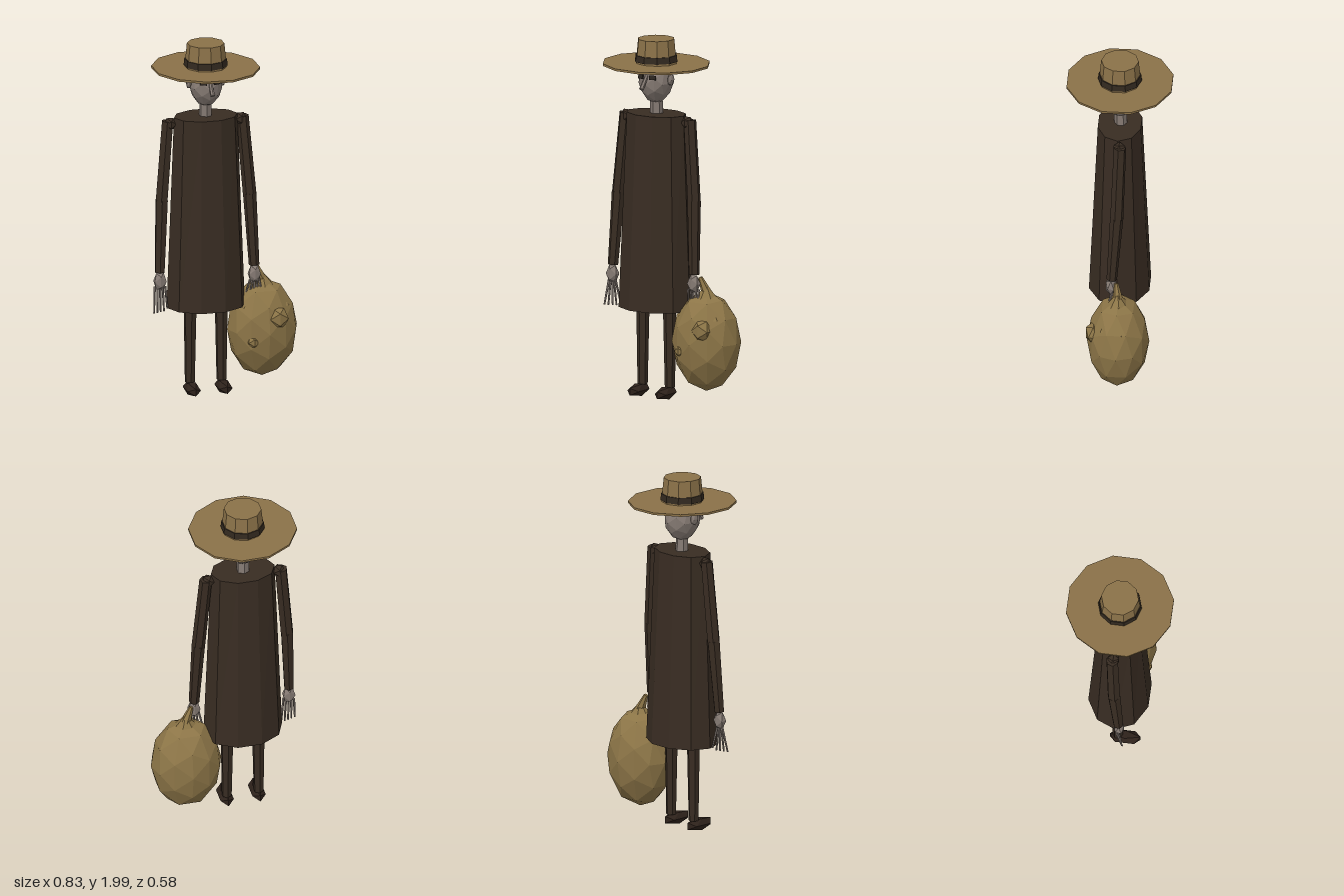
import * as THREE from 'three';

const CX = -0.105; // body centre line

function makeMaterial(name, color) {
  const m = new THREE.MeshStandardMaterial({ color, flatShading: true });
  m.name = name;
  return m;
}

export function createModel() {
  const cloth = makeMaterial('dark cloth', 0x382c22);
  const straw = makeMaterial('straw', 0x8a7148);
  const burlap = makeMaterial('burlap', 0x8c7547);
  const skin = makeMaterial('grey skin', 0x857a73);
  const leather = makeMaterial('dark leather', 0x2e221b);
  const band = makeMaterial('hat band', 0x32291f);
  const eyeDark = makeMaterial('eye dark', 0x2a241f);

  const model = new THREE.Group();
  model.name = 'wanderer';

  const add = (parent, name, geometry, material, x, y, z) => {
    const mesh = new THREE.Mesh(geometry, material);
    mesh.name = name;
    mesh.position.set(x, y, z);
    parent.add(mesh);
    return mesh;
  };
  // faceted ellipsoid
  const blob = (parent, name, mat, pos, size, detail = 0) => {
    const geo = new THREE.IcosahedronGeometry(1, detail).scale(...size);
    return add(parent, name, geo, mat, ...pos);
  };
  // tapered rod from a to b
  const limb = (parent, name, mat, a, b, ra, rb, sides = 6) => {
    const from = new THREE.Vector3(...a), to = new THREE.Vector3(...b);
    const dir = to.clone().sub(from);
    const mid = from.clone().add(to).multiplyScalar(0.5);
    const geo = new THREE.CylinderGeometry(rb, ra, dir.length(), sides);
    const mesh = add(parent, name, geo, mat, mid.x, mid.y, mid.z);
    mesh.quaternion.setFromUnitVectors(new THREE.Vector3(0, 1, 0), dir.normalize());
    return mesh;
  };

  // Long coat, tapering upward, oval in plan
  const coatGeo = new THREE.CylinderGeometry(0.18, 0.222, 1.085, 10);
  coatGeo.rotateY(Math.PI / 10);
  const p = coatGeo.attributes.position;
  for (let i = 0; i < p.count; i++) p.setZ(i, p.getZ(i) * (p.getY(i) > 0 ? 0.69 : 0.785));
  add(model, 'coat', coatGeo, cloth, CX, 1.0425, 0);

  // Neck and head
  limb(model, 'neck', skin, [CX, 1.57, -0.005], [CX, 1.69, 0], 0.036, 0.034);
  const head = new THREE.Group();
  head.name = 'head';
  model.add(head);
  const skullGeo = new THREE.IcosahedronGeometry(1, 1);
  const s = skullGeo.attributes.position;
  for (let i = 0; i < s.count; i++) {
    const narrow = 1 + Math.min(0, s.getY(i)) * 0.15; // narrower jaw
    s.setXYZ(i, s.getX(i) * 0.092 * narrow, s.getY(i) * 0.118, s.getZ(i) * 0.11 * narrow);
  }
  add(head, 'skull', skullGeo, skin, CX, 1.757, 0);
  limb(head, 'nose', skin, [CX, 1.81, 0.09], [CX, 1.738, 0.146], 0.01, 0.013);
  for (const side of [-1, 1]) {
    blob(head, 'ear', skin, [CX + side * 0.096, 1.78, 0], [0.016, 0.037, 0.03]);
    const eye = add(head, 'eye', new THREE.BoxGeometry(0.038, 0.024, 0.009), eyeDark,
      CX + side * 0.038, 1.798, 0.093);
    eye.rotation.set(-0.25, side * 0.35, 0, 'YXZ');
  }

  // Wide hat
  const hat = new THREE.Group();
  hat.name = 'hat';
  model.add(hat);
  const brim = add(hat, 'brim', new THREE.CylinderGeometry(0.298, 0.298, 0.012, 12).rotateY(Math.PI / 12),
    straw, CX, 1.86, 0);
  brim.rotation.z = -0.015;
  add(hat, 'crown', new THREE.CylinderGeometry(0.103, 0.116, 0.14, 10), straw, CX, 1.93, 0);
  add(hat, 'hatBand', new THREE.CylinderGeometry(0.117, 0.121, 0.036, 10), band, CX, 1.893, 0);

  // Arms, hands, legs and shoes, mirrored about the centre line
  for (const side of [-1, 1]) {
    const at = (dx, y, z) => [CX + side * dx, y, z];
    const arm = new THREE.Group();
    arm.name = side > 0 ? 'leftArm' : 'rightArm';
    model.add(arm);
    blob(arm, 'shoulder', cloth, at(0.2, 1.55, -0.01), [0.038, 0.038, 0.038]);
    limb(arm, 'upperArm', cloth, at(0.212, 1.565, -0.015), at(0.25, 1.115, 0), 0.035, 0.037);
    limb(arm, 'forearm', cloth, at(0.25, 1.12, 0), at(0.268, 0.715, 0.026), 0.037, 0.029);

    // The left hand grips the sack, so its fingers are shorter
    const reach = side > 0 ? 0.54 : 0.49;
    blob(arm, 'hand', skin, at(0.268, 0.665, 0.03), [0.039, 0.056, 0.032]);
    for (let i = 0; i < 5; i++) {
      const t = i / 4 - 0.5;
      limb(arm, 'finger', skin, at(0.268 + t * 0.055, 0.635, 0.032 - t * 0.02),
        at(0.265 + t * 0.085, reach + (i === 0 ? 0.012 : 0), 0.035 + t * 0.035), 0.007, 0.005, 5);
    }

    const leg = new THREE.Group();
    leg.name = side > 0 ? 'leftLeg' : 'rightLeg';
    model.add(leg);
    limb(leg, 'trouserLeg', cloth, at(0.088, 0.54, 0), at(0.09, 0.065, 0), 0.037, 0.028);
    blob(leg, 'shoe', leather, at(0.09, 0.038, 0.041), [0.044, 0.038, 0.1]);
  }

  // Carried sack: faceted body, gathered top and twisted neck
  const sack = new THREE.Group();
  sack.name = 'sack';
  model.add(sack);
  blob(sack, 'sackBody', burlap, [0.218, 0.345, -0.012], [0.198, 0.278, 0.172], 1);
  const gather = add(sack, 'sackTop', new THREE.CylinderGeometry(0.012, 0.165, 0.165, 7), burlap,
    0.22, 0.565, -0.01);
  gather.scale.z = 0.85;
  limb(sack, 'sackNeck', burlap, [0.222, 0.61, -0.012], [0.185, 0.7, 0], 0.03, 0.012, 6);
  blob(sack, 'largeLump', burlap, [0.275, 0.427, 0.118], [0.062, 0.066, 0.05]);
  blob(sack, 'smallLump', burlap, [0.135, 0.3, 0.115], [0.038, 0.038, 0.035]);

  return model;
}
